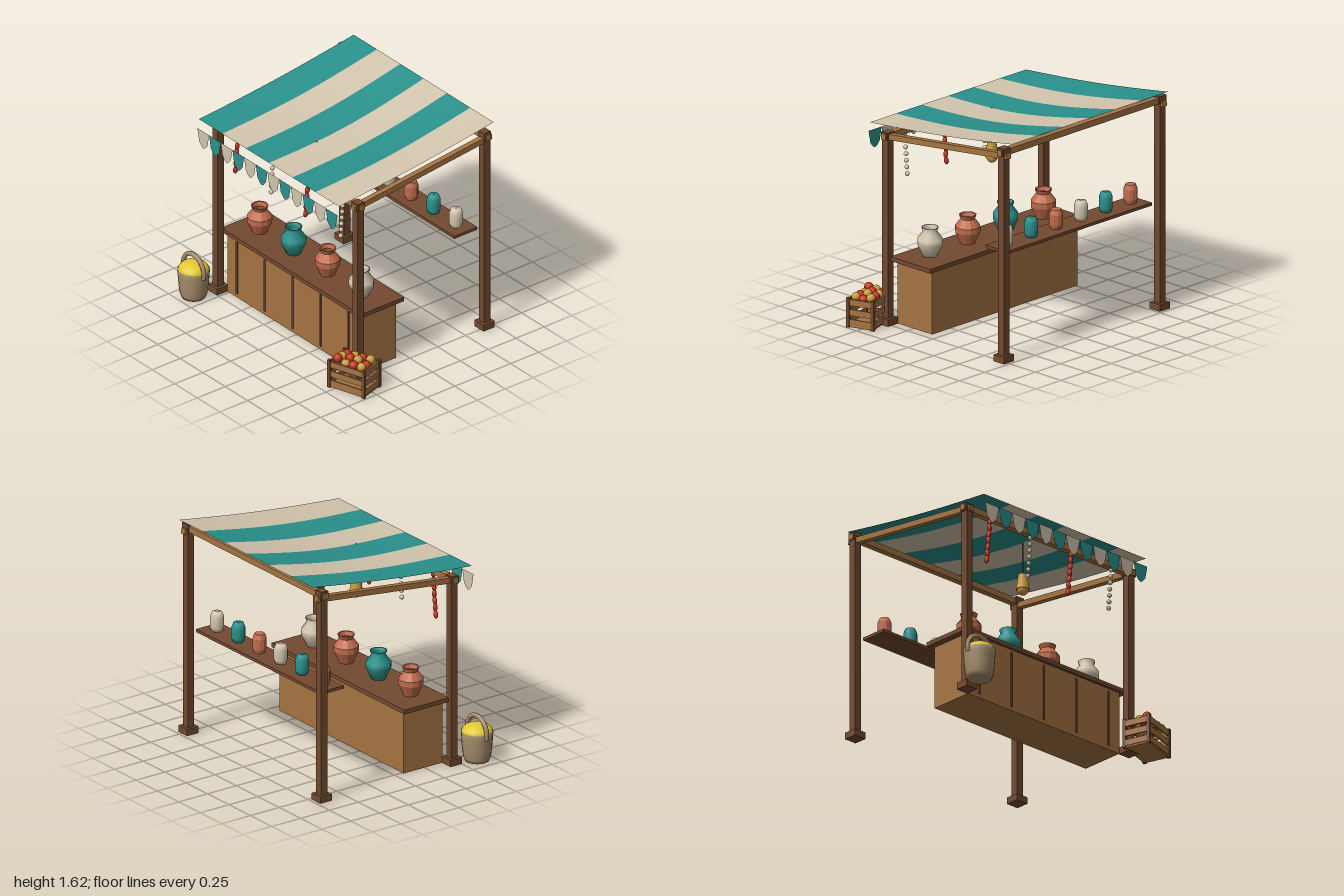
import * as THREE from 'three';

const mat = (name, color, extra = {}) => {
  const m = new THREE.MeshStandardMaterial({ color, ...extra });
  m.name = name;
  return m;
};

export function createModel() {
  const both = { side: THREE.DoubleSide };
  const facet = { side: THREE.DoubleSide, flatShading: true };
  const brown = mat('darkTimber', 0x734a30);
  const wood = mat('lightTimber', 0xa67443);
  const teal = mat('teal', 0x2a918c, both);
  const cream = mat('cream', 0xd3c6ae, both);
  const clay = mat('terracotta', 0xc06c4c, facet);
  const red = mat('red', 0xcc3422);
  const gold = mat('gold', 0xcb9c3a);
  const yellow = mat('yellow', 0xe2c832);
  const wicker = mat('wicker', 0xa78e6c, both);
  const cord = mat('cord', 0x2f5a58);

  const model = new THREE.Group();
  const CX = -0.04;              // middle of the stall
  const postX = [-0.777, 0.777];

  const add = (name, geo, material, x = 0, y = 0, z = 0, parent = model) => {
    const m = new THREE.Mesh(geo, material);
    m.name = name;
    m.position.set(x, y, z);
    parent.add(m);
    return m;
  };
  const box = (name, material, w, h, d, x, y, z, parent) =>
    add(name, new THREE.BoxGeometry(w, h, d), material, x, y, z, parent);
  const lathe = (pts, seg) =>
    new THREE.LatheGeometry(pts.map(p => new THREE.Vector2(p[0], p[1])), seg);

  // Posts with feet and joint wraps
  for (const [z, h, beamY] of [[0.452, 1.42, 1.39], [-0.68, 1.58, 1.545]]) {
    for (const px of postX) {
      const x = CX + px;
      box('post', brown, 0.056, h, 0.056, x, h / 2, z);
      box('postFoot', brown, 0.1, 0.05, 0.1, x, 0.025, z);
      box('jointWrap', brown, 0.07, 0.056, 0.062, x, h - 0.029, z);
    }
    box('crossBeam', wood, 1.645, 0.045, 0.045, CX, beamY, z);
  }
  // Sloping side beams
  for (const px of postX) {
    const beam = box('sideBeam', wood, 0.042, 0.042, 1.235, CX + px, 1.453, -0.116);
    beam.rotation.x = Math.atan2(0.145, 1.227);
  }

  // Sagging striped canopy
  const x0 = -0.818, x1 = 0.738, stripe = (x1 - x0) / 6;
  for (let i = 0; i < 6; i++) {
    const g = new THREE.PlaneGeometry(stripe, 1.385, 6, 16);
    g.rotateX(-Math.PI / 2);
    g.translate(x0 + stripe * (i + 0.5), 0, -0.0675);
    const p = g.attributes.position;
    for (let k = 0; k < p.count; k++) {
      const t = (0.625 - p.getZ(k)) / 1.385, u = (p.getX(k) - x0) / (x1 - x0);
      const sag = Math.sin(Math.PI * t) * (0.016 + 0.03 * Math.sin(Math.PI * u));
      p.setY(k, 1.445 + 0.175 * t - sag);
    }
    g.computeVertexNormals();
    add('canopyStripe', g, i % 2 ? cream : teal);
  }

  // Bunting flags
  const fw = (x1 - x0) / 12;
  const flag = new THREE.Shape([[-0.5, 0], [-0.36, -0.095], [-0.16, -0.125], [0, -0.138],
    [0.16, -0.125], [0.36, -0.095], [0.5, 0]].map(([x, y]) => new THREE.Vector2(x * fw, y)));
  const flagGeo = new THREE.ShapeGeometry(flag);
  for (let i = 0; i < 12; i++) {
    add('buntingFlag', flagGeo, i % 2 ? teal : cream, x0 + fw * (i + 0.5), 1.378, 0.638);
  }

  // Strings of peppers and garlic hanging from the front beam
  const pepper = new THREE.SphereGeometry(0.019, 10, 8);
  const bulb = new THREE.SphereGeometry(0.017, 10, 8);
  const line = (x, z, top, bottom, r = 0.003) =>
    add('string', new THREE.CylinderGeometry(r, r, top - bottom, 6), cord, x, (top + bottom) / 2, z);
  for (const x of [-0.615, 0.165]) {
    for (let i = 0; i < 7; i++) {
      const m = add('pepper', pepper, red, x + 0.018 - i * 0.005, 1.36 - i * 0.05, 0.452);
      m.scale.set(0.9, 1.6, 0.9);
      m.rotation.z = i % 2 ? 0.15 : -0.2;
    }
  }
  for (const x of [-0.222, 0.553]) {
    for (let i = 0; i < 7; i++) {
      add('garlicBulb', bulb, cream, x + 0.014 - i * 0.004, 1.36 - i * 0.05, 0.452);
    }
  }

  // Hanging lantern
  line(CX, 0.197, 1.465, 1.21, 0.005);
  add('lanternShade', new THREE.CylinderGeometry(0.032, 0.049, 0.115, 12), gold, CX, 1.158, 0.197);
  add('lanternBulb', new THREE.SphereGeometry(0.04, 16, 12), gold, CX, 1.1, 0.197);

  // Counter with panel battens
  box('counterBody', wood, 1.45, 0.47, 0.34, CX, 0.235, 0.24);
  box('counterTop', brown, 1.55, 0.032, 0.39, CX, 0.484, 0.235);
  for (let i = -2; i <= 2; i++) {
    box('counterBatten', brown, 0.014, 0.415, 0.008, CX + i * 0.31, 0.238, 0.413);
  }

  // Large pots on the counter
  const potGeo = lathe([[0, 0], [0.052, 0], [0.09, 0.085], [0.09, 0.125], [0.05, 0.18],
    [0.062, 0.21], [0.052, 0.208], [0.042, 0.18], [0.06, 0.13], [0, 0.1]], 12);
  [clay, teal, clay, cream].forEach((m, i) =>
    add('largePot', potGeo, m, -0.608 + i * 0.377, 0.5, 0.25));

  // Back shelf with small jars
  box('shelf', brown, 1.45, 0.022, 0.205, CX, 0.778, -0.5525);
  const jarGeo = lathe([[0, 0], [0.04, 0], [0.05, 0.03], [0.05, 0.105], [0.037, 0.14], [0, 0.14]], 12);
  [clay, teal, cream, clay, teal, cream].forEach((m, i) =>
    add('smallJar', jarGeo, m, -0.66 + i * 0.248, 0.789, -0.55));

  // Basket with a hoop handle
  const basket = new THREE.Group();
  basket.name = 'basket';
  basket.position.set(-0.868, 0, 0.632);
  model.add(basket);
  add('basketBody', lathe([[0, 0], [0.085, 0], [0.097, 0.03], [0.106, 0.1], [0.112, 0.18],
    [0.114, 0.22], [0.104, 0.22]], 20), wicker, 0, 0, 0, basket);
  const heap = add('basketFilling',
    new THREE.SphereGeometry(0.111, 20, 8, 0, Math.PI * 2, 0, Math.PI / 2), yellow, 0, 0.215, 0, basket);
  heap.scale.y = 0.58;
  const arc = Math.PI * 1.2;
  const hoop = new THREE.TorusGeometry(0.114, 0.017, 8, 24, arc);
  hoop.rotateZ((Math.PI - arc) / 2);
  add('basketHandle', hoop, wicker, 0, 0.218, 0, basket);

  // Slatted crate
  const crate = new THREE.Group();
  crate.name = 'crate';
  crate.position.set(0.815, 0, 0.55);
  crate.rotation.y = 0.31;
  model.add(crate);
  const L = 0.31, D = 0.215;
  box('crateFloor', wood, L - 0.02, 0.02, D - 0.02, 0, 0.012, 0, crate);
  for (const s of [-1, 1]) {
    for (const t of [-1, 1]) {
      box('cratePost', brown, 0.024, 0.22, 0.024, s * (L / 2 - 0.012), 0.11, t * (D / 2 - 0.012), crate);
    }
    for (const y of [0.038, 0.112, 0.186]) {
      box('crateSlat', wood, L - 0.03, 0.046, 0.012, 0, y, s * (D / 2 - 0.01), crate);
      box('crateSlat', wood, 0.012, 0.046, D - 0.03, s * (L / 2 - 0.01), y, 0, crate);
    }
  }
  // Fruit heaped in the crate
  const fruit = new THREE.SphereGeometry(0.033, 12, 9);
  for (let i = 0; i < 4; i++) {
    for (let j = 0; j < 3; j++) {
      const k = i * 3 + j;
      add('fruit', fruit, (i + j) % 2 ? gold : red, -0.099 + i * 0.066,
        0.205 + ((k * 7) % 5) * 0.006, -0.058 + j * 0.058, crate);
    }
  }
  return model;
}
